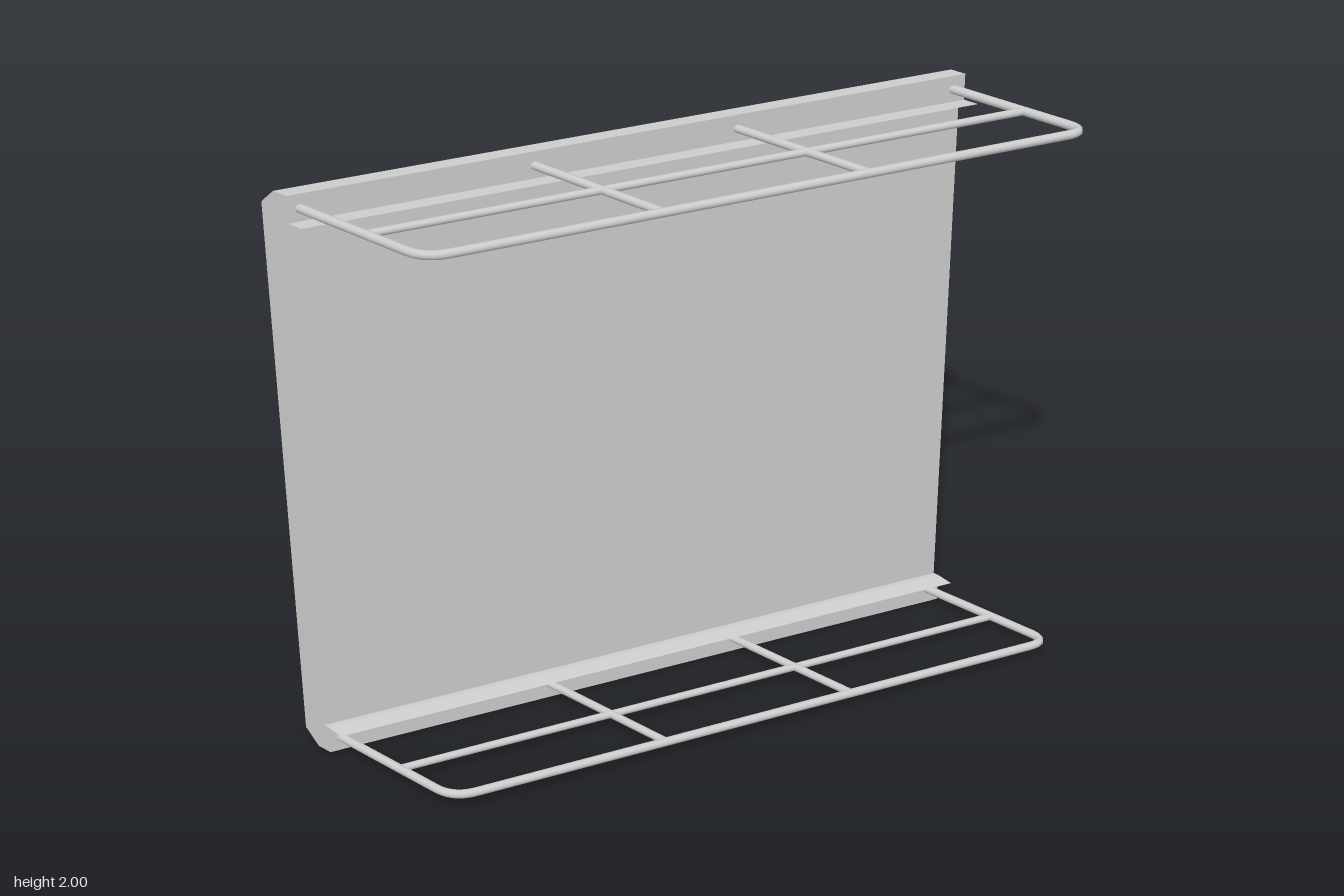
import * as THREE from 'three';

const SLOPE = 0.5; // the panel runs diagonally: z grows by half of x
const mat = new THREE.MeshStandardMaterial({ color: 0xcccccc });
const at = (x, offset) => new THREE.Vector3(x, 0, SLOPE * x + offset);

// Extrude a (depth, y) outline along x, centred on x = 0; depth points to -z
function extrudeAlongX(points, width) {
  const shape = new THREE.Shape(points.map(([d, y]) => new THREE.Vector2(d, y)));
  const geo = new THREE.ExtrudeGeometry(shape, { depth: width, bevelEnabled: false });
  return geo.translate(0, 0, -width / 2).rotateY(Math.PI / 2);
}

function addMesh(parent, geo, name) {
  const mesh = new THREE.Mesh(geo, mat);
  mesh.name = name;
  parent.add(mesh);
  return mesh;
}

// Panel with chamfered back edges, front lips and thin wedge ledges
function makePanel() {
  const upper = [
    [0.21, 1.9], [0.19, 1.9], [0.135, 1.911], [0.19, 1.911],
    [0.19, 2], [0.245, 2], [0.3, 1.95],
  ];
  const lower = upper.map(([d, y]) => [d, 2 - y]).reverse();
  const geo = extrudeAlongX([...upper, ...lower], 2);
  geo.applyMatrix4(new THREE.Matrix4().set(
    1, 0, 0, 0,
    0, 1, 0, 0,
    SLOPE, 0, 1, 0,
    0, 0, 0, 1));
  geo.computeVertexNormals();
  return geo;
}

function bar(a, b, radius) {
  return new THREE.TubeGeometry(new THREE.LineCurve3(a, b), 1, radius, 12);
}

// Flat wire rack: bent outer rod, one long bar, two cross bars
function makeRack(name) {
  const rack = new THREE.Group();
  rack.name = name;
  const X = 0.965, front = 0.315, panel = -0.2;
  const shift = (v, dz) => v.clone().add(new THREE.Vector3(0, 0, dz));
  const leftEnd = at(-X, front), rightEnd = at(X, front);
  const bendA = shift(leftEnd, -0.075), bendB = at(-X + 0.07, front);
  const bendC = at(X - 0.065, front), bendD = shift(rightEnd, -0.07);

  const path = new THREE.CurvePath();
  path.add(new THREE.LineCurve3(at(-X, panel), bendA));
  path.add(new THREE.QuadraticBezierCurve3(bendA, leftEnd, bendB));
  path.add(new THREE.LineCurve3(bendB, bendC));
  path.add(new THREE.QuadraticBezierCurve3(bendC, rightEnd, bendD));
  path.add(new THREE.LineCurve3(bendD, at(X, panel)));
  addMesh(rack, new THREE.TubeGeometry(path, 200, 0.0145, 12), 'outerRod');

  addMesh(rack, bar(at(-X, 0.078), at(X, 0.078), 0.0125), 'longBar');
  for (const x of [-0.31, 0.29]) {
    addMesh(rack, bar(at(x, panel), at(x, front), 0.0135), 'crossBar');
  }
  return rack;
}

export function createModel() {
  const model = new THREE.Group();
  model.name = 'slantedPanel';
  addMesh(model, makePanel(), 'panel');

  // Back ribs, square to the panel, with sloped ends
  const ribGeo = extrudeAlongX(
    [[-0.01, 0.05], [0, 0.05], [0.09, 0.137], [0.09, 1.863], [0, 1.95], [-0.01, 1.95]], 0.1);
  for (const x of [-0.459, 0.452]) {
    const rib = addMesh(model, ribGeo, 'backRib');
    rib.position.copy(at(x, -0.3));
    rib.rotation.y = -Math.atan(SLOPE);
  }

  // Wire racks at top and bottom
  for (const [name, y] of [['topRack', 1.953], ['bottomRack', 0.051]]) {
    const rack = makeRack(name);
    rack.position.y = y;
    model.add(rack);
  }
  return model;
}
